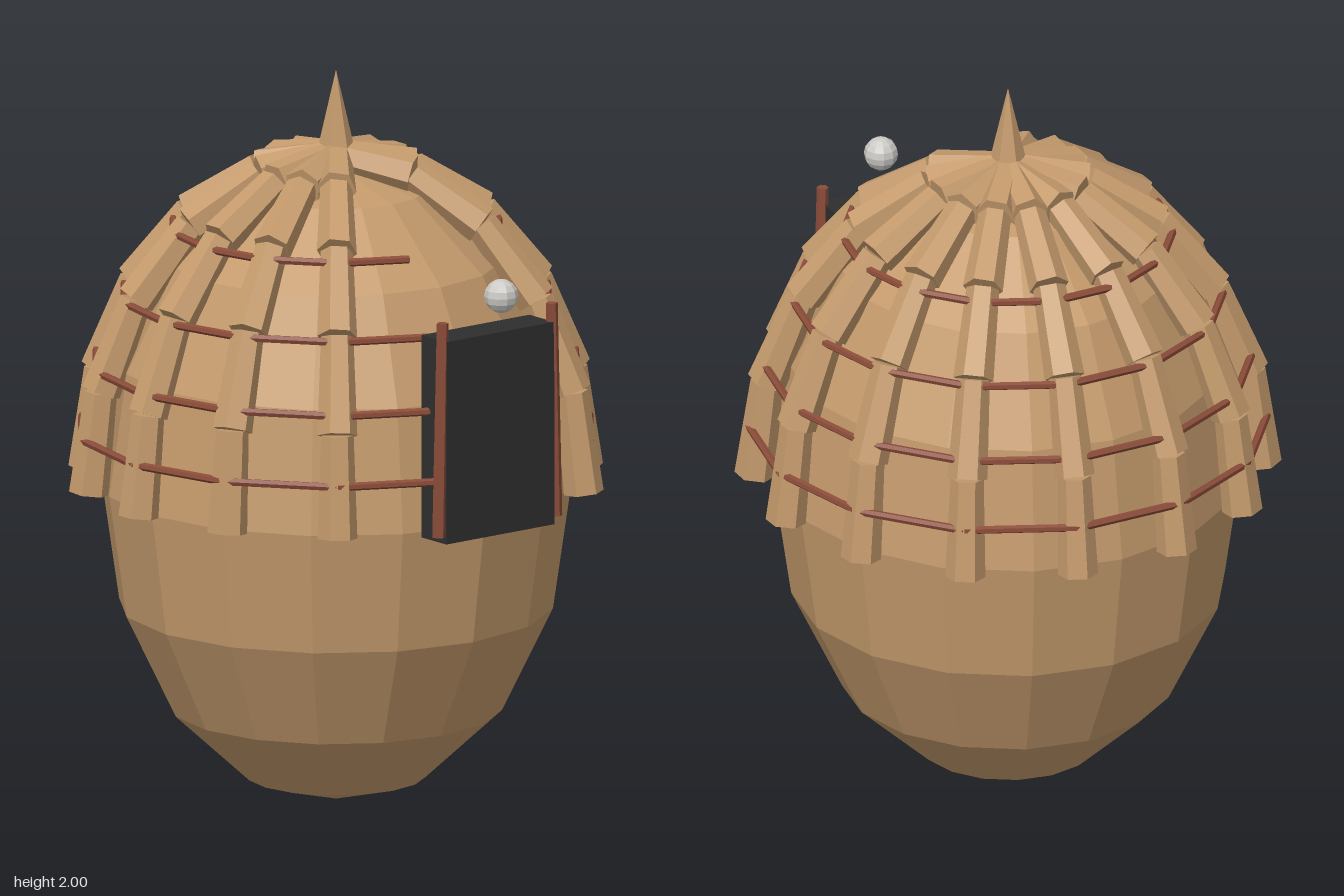
import * as THREE from 'three';

const mat = (name, color) =>
  Object.assign(new THREE.MeshStandardMaterial({ color, flatShading: true }), { name });

const UP = new THREE.Vector3(0, 1, 0);
const SLATS = 14;          // evenly spaced directions, two left open at the door
const MID = 0.875;         // height of the widest part
const SLAT_R = 0.677, SLAT_H = 0.89;

export function createModel() {
  const model = new THREE.Group();
  model.name = 'woodenPod';
  const wood = mat('tan wood', 0xc49a6c);
  const stick = mat('red brown wood', 0x8b4c39);
  const black = mat('charcoal', 0x2e2e2e);
  const silver = mat('silver', 0xcccac6);

  const add = (parent, name, geometry, material) => {
    const mesh = new THREE.Mesh(geometry, material);
    mesh.name = name;
    parent.add(mesh);
    return mesh;
  };
  // Six-sided rod from a to b
  const rod = (parent, name, a, b, rA, rB, material) => {
    const dir = b.clone().sub(a);
    const mesh = add(parent, name, new THREE.CylinderGeometry(rB, rA, dir.length(), 6), material);
    mesh.position.copy(a).add(b).multiplyScalar(0.5);
    mesh.quaternion.setFromUnitVectors(UP, dir.normalize());
    return mesh;
  };
  const polar = (k, r, y) => {
    const a = (k / SLATS) * Math.PI * 2;
    return new THREE.Vector3(Math.cos(a) * r, y, -Math.sin(a) * r);
  };

  const pod = new THREE.Group();
  pod.name = 'pod';
  pod.position.z = -0.015;
  model.add(pod);

  // Egg-shaped body
  const body = add(pod, 'body', new THREE.SphereGeometry(1, 16, 8), wood);
  body.scale.set(0.63, 0.87, 0.63);
  body.position.y = MID - 0.005;

  // Roof spire
  add(pod, 'spire', new THREE.ConeGeometry(0.06, 0.26, 6), wood).position.y = 1.87;

  // Curved slats, each of five tapered pieces, and the sticks tied across them
  const slats = new THREE.Group();
  slats.name = 'slats';
  const sticks = new THREE.Group();
  sticks.name = 'crossSticks';
  pod.add(slats, sticks);
  const onSlat = (k, i) => {
    const t = (i / 5) * Math.PI / 2;
    return polar(k, SLAT_R * Math.sin(t), MID + SLAT_H * Math.cos(t));
  };
  for (let k = 0; k < SLATS; k++) {
    const open = k === 10 || k === 11;
    if (open) continue;
    for (let i = 0; i < 5; i++) {
      rod(slats, 'slatPiece', onSlat(k, i + 1), onSlat(k, i), 0.054, 0.044, wood);
    }
    for (const y of [1.02, 1.205, 1.39, 1.575]) {
      const r = SLAT_R * Math.sqrt(1 - ((y - MID) / SLAT_H) ** 2) + 0.026;
      rod(sticks, 'crossStick', polar(k, r, y), polar(k + 1, r, y), 0.011, 0.011, stick);
    }
  }

  // Doorway with leaning posts and a lamp above
  const door = new THREE.Group();
  door.name = 'doorway';
  model.add(door);
  add(door, 'doorPanel', new THREE.BoxGeometry(0.37, 0.555, 0.106), black).position.set(0, 1.1325, 0.63);
  for (const s of [-1, 1]) {
    rod(door, 'doorPost', new THREE.Vector3(s * 0.2, 0.875, 0.67),
      new THREE.Vector3(s * 0.187, 1.46, 0.67), 0.018, 0.016, stick);
  }
  add(door, 'lamp', new THREE.SphereGeometry(0.046, 10, 8), silver).position.set(0, 1.51, 0.687);

  return model;
}
